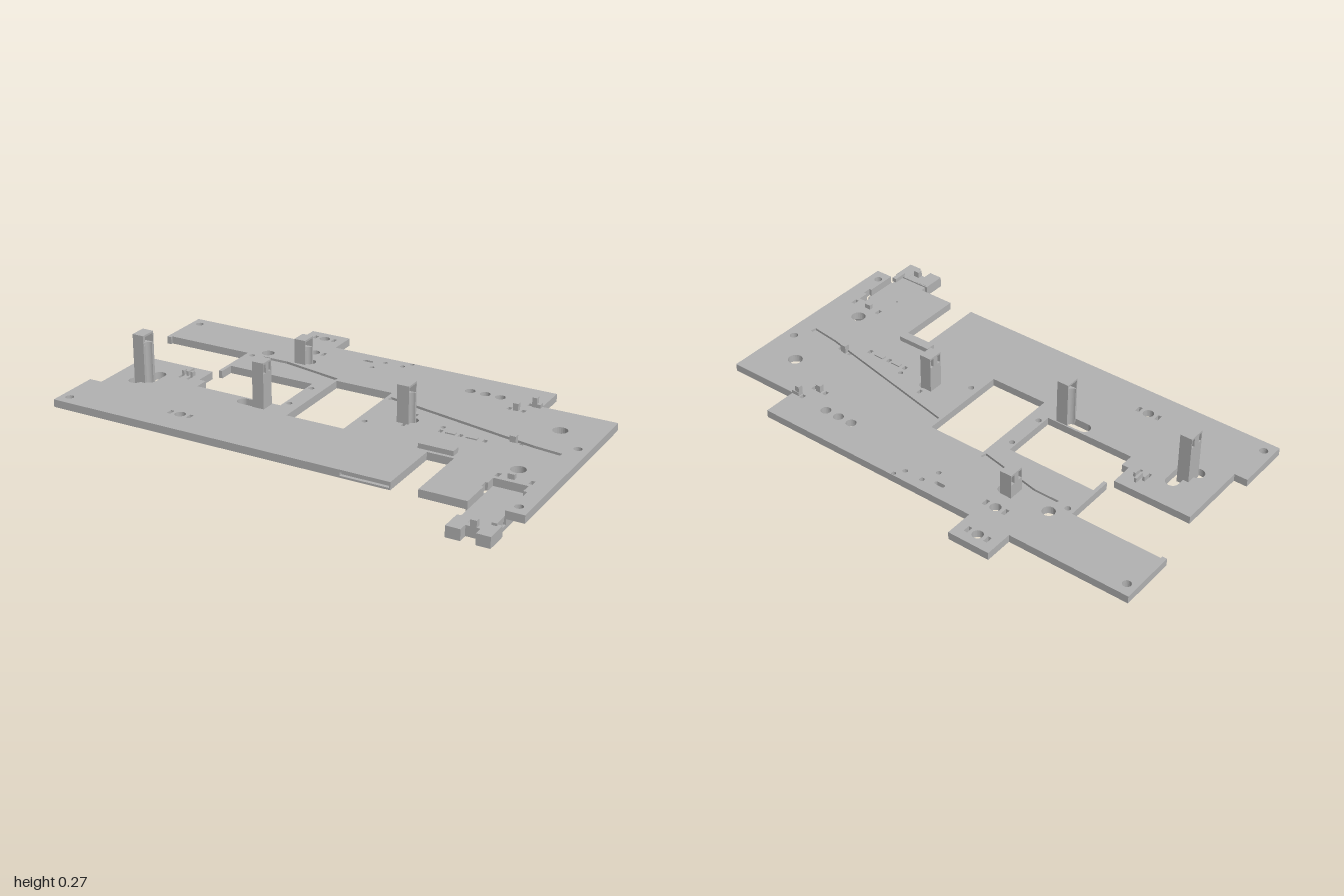
import * as THREE from 'three';

export function createModel() {
  const model = new THREE.Group();
  model.name = 'mountingPlate';
  const grey = new THREE.MeshStandardMaterial({ color: 0xb2b2b2 });
  grey.name = 'plate grey';

  const add = (name, geometry, parent = model) => {
    const mesh = new THREE.Mesh(geometry, grey);
    mesh.name = name;
    parent.add(mesh);
    return mesh;
  };
  // Box given by its limits on each axis
  const box = (name, x0, x1, y0, y1, z0, z1, parent) =>
    add(name, new THREE.BoxGeometry(x1 - x0, y1 - y0, z1 - z0)
      .translate((x0 + x1) / 2, (y0 + y1) / 2, (z0 + z1) / 2), parent);
  // Plan shape (x, z) extruded between two heights
  const slab = (name, shape, y0, y1, parent) =>
    add(name, new THREE.ExtrudeGeometry(shape, { depth: y1 - y0, bevelEnabled: false, curveSegments: 12 })
      .rotateX(Math.PI / 2).translate(0, y1, 0), parent);

  const polygon = (pts) => new THREE.Shape(pts.map(([x, z]) => new THREE.Vector2(x, z)));
  const rect = (x, z, w, d) => polygon([
    [x - w / 2, z - d / 2], [x + w / 2, z - d / 2], [x + w / 2, z + d / 2], [x - w / 2, z + d / 2]]);
  const round = (x, z, r) => new THREE.Path().absarc(x, z, r, 0, Math.PI * 2);
  // Constant-width channel following a list of points
  const channel = (points, width) => {
    const left = [], right = [];
    points.forEach((p, i) => {
      const a = points[Math.max(i - 1, 0)], b = points[Math.min(i + 1, points.length - 1)];
      const t = b.clone().sub(a).normalize().multiplyScalar(width / 2);
      left.push(new THREE.Vector2(p.x - t.y, p.y + t.x));
      right.unshift(new THREE.Vector2(p.x + t.y, p.y - t.x));
    });
    return new THREE.Path([...left, ...right]);
  };
  const vectors = (pts) => pts.map(([x, z]) => new THREE.Vector2(x, z));

  // Plate outline, with the open bay for the front clip and the side notches
  const outline = (recessed) => polygon([
    [-1, -0.53], [-0.49, -0.53], [-0.49, -0.65], [-0.31, -0.65], [-0.31, -0.53],
    [0.69, -0.53], [0.69, -0.385], [1, -0.385], [1, 0.485],
    [0.925, 0.485], [0.925, 0.355], [0.935, 0.355], [0.935, 0.32], [0.92, 0.32], [0.92, 0.275],
    [0.785, 0.275], [0.785, 0.32], [0.775, 0.32], [0.775, 0.355], [0.785, 0.355], [0.785, 0.485],
    [0.595, 0.485], [0.595, 0.2], [0.485, 0.2], [0.485, 0.485],
    ...(recessed ? [[0.48, 0.485], [0.48, 0.47], [0.28, 0.47], [0.28, 0.485]] : []),
    [-1, 0.485], [-1, 0.25], [-0.945, 0.25], [-0.945, -0.055], [-0.615, -0.055], [-0.615, 0.04],
    [-0.585, 0.04], [-0.585, 0.1], [-0.2, 0.1], [-0.2, -0.145], [-0.585, -0.145], [-0.585, -0.08],
    [-0.6, -0.08], [-0.6, -0.3], [-0.98, -0.3], [-0.98, -0.29], [-1, -0.29]]);

  // Through holes: x, z, radius
  const drilled = [
    [-0.96, -0.48, 0.017], [-0.96, 0.435, 0.017], [0.955, 0.435, 0.017], [0.955, -0.095, 0.017],
    [0.835, -0.215, 0.03], [0.835, 0.17, 0.03], [-0.525, -0.34, 0.026], [-0.325, -0.34, 0.026],
    [-0.57, -0.285, 0.012], [0.38, -0.39, 0.021], [0.445, -0.39, 0.021], [0.51, -0.39, 0.021],
    [-0.18, -0.105, 0.012], [-0.18, 0.065, 0.012], [0.155, 0.07, 0.012], [-0.835, 0.17, 0.028],
    [0.31, -0.025, 0.025], [0.44, -0.025, 0.01],
    [-0.05, -0.483, 0.01], [0.03, -0.483, 0.01], [0.055, -0.52, 0.009], [-0.075, -0.415, 0.01]];
  // Rectangular holes: x, z, width, depth
  const slots = [
    [0.3, -0.075, 0.014, 0.024], [0.3, 0.027, 0.014, 0.024],
    [0.79, 0.245, 0.016, 0.028], [0.92, 0.245, 0.016, 0.028],
    [0.447, 0.01, 0.016, 0.022], [0.53, 0.01, 0.016, 0.022], [0.63, 0.01, 0.016, 0.022],
    [0.585, -0.31, 0.016, 0.022], [0.643, -0.31, 0.016, 0.022],
    [0.642, -0.38, 0.016, 0.022],
    [-0.7, 0.045, 0.012, 0.03], [-0.66, 0.045, 0.012, 0.03]];
  // Screw hole with a slot on each side
  for (const [x, z] of [[-0.4, -0.595], [-0.36, -0.44], [-0.49, 0.36]]) {
    drilled.push([x, z, 0.022]);
    for (const s of [-1, 1]) slots.push([x + s * 0.044, z, 0.016, 0.03]);
  }
  const wireSlots = [[0.695, -0.04, 0.016, 0.022], [0.75, -0.04, 0.016, 0.022]];

  const oval = (x0, z0, x1, z1, r) => {
    const a = Math.atan2(z1 - z0, x1 - x0);
    return new THREE.Path()
      .absarc(x1, z1, r, a - Math.PI / 2, a + Math.PI / 2)
      .absarc(x0, z0, r, a + Math.PI / 2, a + Math.PI * 1.5);
  };
  const plateShape = (extra, recessed = false) => {
    const shape = outline(recessed);
    shape.holes.push(
      rect(-0.005, -0.025, 0.25, 0.39),
      oval(-0.345, 0.135, -0.285, 0.135, 0.026),
      oval(-0.785, 0.075, -0.785, 0.14, 0.027),
      oval(-0.135, -0.465, -0.105, -0.465, 0.008),
      ...drilled.map((d) => round(...d)),
      ...slots.map((s) => rect(...s)),
      ...extra);
    return shape;
  };

  // Wire channels: a straight one on top, a curved one underneath
  const topChannels = [
    channel(vectors([[-0.52, -0.285], [-0.41, -0.285], [-0.14, -0.23]]), 0.026),
    channel(vectors([[0.135, -0.17], [0.8, -0.03], [0.92, -0.015]]), 0.026)];
  const underCurve = new THREE.SplineCurve(vectors([
    [0.75, -0.24], [0.64, -0.265], [0.37, -0.25], [0.23, -0.17], [0.188, -0.03],
    [0.186, 0.12], [0.2, 0.26], [0.29, 0.39], [0.46, 0.44]]));
  const underChannel = channel(underCurve.getPoints(40), 0.016);

  // The plate, in three layers
  slab('plateUnderside', plateShape([underChannel]), 0.038, 0.046);
  slab('plateCore', plateShape(wireSlots.map((s) => rect(...s)), true), 0.046, 0.06);
  slab('plateTop', plateShape(topChannels), 0.06, 0.07);

  // Hook post: grooved column with two small windows under a cap
  function post(name, x, z, height, depth, side) {
    const group = new THREE.Group();
    group.name = name;
    model.add(group);
    const h = depth / 2, r = 0.022, w = 0.025;
    const section = new THREE.Shape();
    section.moveTo(-w, -h).lineTo(w, -h).lineTo(w, -r)
      .absarc(w, 0, r, -Math.PI / 2, Math.PI / 2, true)
      .lineTo(w, h).lineTo(-w, h).lineTo(-w, -h);
    slab('postColumn', section, 0.05, height - 0.045, group);
    box('postNeck', -w, -0.002, height - 0.045, height - 0.008, -h + 0.02, h - 0.02, group);
    for (const s of [-1, 1]) {
      const edge = s * (h - 0.002);
      box('postSkin', -w, w, height - 0.045, height - 0.008, edge - 0.002, edge + 0.002, group);
    }
    box('postCap', -w, w, height - 0.008, height, -h, h, group);
    group.position.set(x, 0, z);
    if (side < 0) group.rotation.y = Math.PI;
  }
  post('leftBayPost', -0.81, 0.14, 0.27, 0.07, 1);
  post('middlePost', -0.26, 0.135, 0.26, 0.06, -1);
  post('rightPost', 0.29, -0.015, 0.225, 0.064, 1);
  post('rearPost', -0.35, -0.335, 0.175, 0.066, 1);

  // Small clips and tabs on the top face
  box('wideStop', 0.44, 0.585, 0.07, 0.09, 0.145, 0.185);
  box('lowBar', 0.47, 0.51, 0.065, 0.075, 0, 0.02);
  box('lowBar', 0.555, 0.6, 0.065, 0.075, 0, 0.02);
  box('smallClip', 0.603, 0.625, 0.065, 0.1, -0.32, -0.3);
  box('smallClip', 0.655, 0.69, 0.065, 0.085, -0.388, -0.365);
  box('tallClip', 0.655, 0.675, 0.065, 0.11, -0.385, -0.365);
  box('wireClip', 0.71, 0.735, 0.055, 0.095, -0.052, -0.03);
  box('frontTab', 0.83, 0.857, 0.065, 0.09, 0.238, 0.255);
  for (const x of [-0.7, -0.68, -0.66]) {
    box('prong', x - 0.005, x + 0.005, 0.06, 0.09, x === -0.68 ? -0.015 : 0.01, 0.03);
  }

  // Front clip hanging under the plate and projecting past its edge
  box('clipFloor', 0.785, 0.92, 0.016, 0.038, 0.2, 0.545);
  for (const [x0, x1] of [[0.778, 0.8], [0.908, 0.93]]) {
    box('clipRailRear', x0, x1, 0.001, 0.038, 0.2, 0.29);
    box('clipRailLow', x0, x1, 0, 0.016, 0.29, 0.545);
    box('clipRailFront', x0, x1, 0.001, 0.038, 0.34, 0.485);
  }
  box('clipBridge', 0.775, 0.945, 0.002, 0.044, 0.545, 0.602);
  box('clipJawLeft', 0.89, 0.945, 0, 0.045, 0.55, 0.64);
  box('clipJawRight', 0.775, 0.833, 0, 0.045, 0.55, 0.64);
  box('clipNub', 0.85, 0.875, 0.04, 0.07, 0.58, 0.602);
  box('clipCornerNub', 0.91, 0.93, 0.036, 0.055, 0.5, 0.56);

  return model;
}
